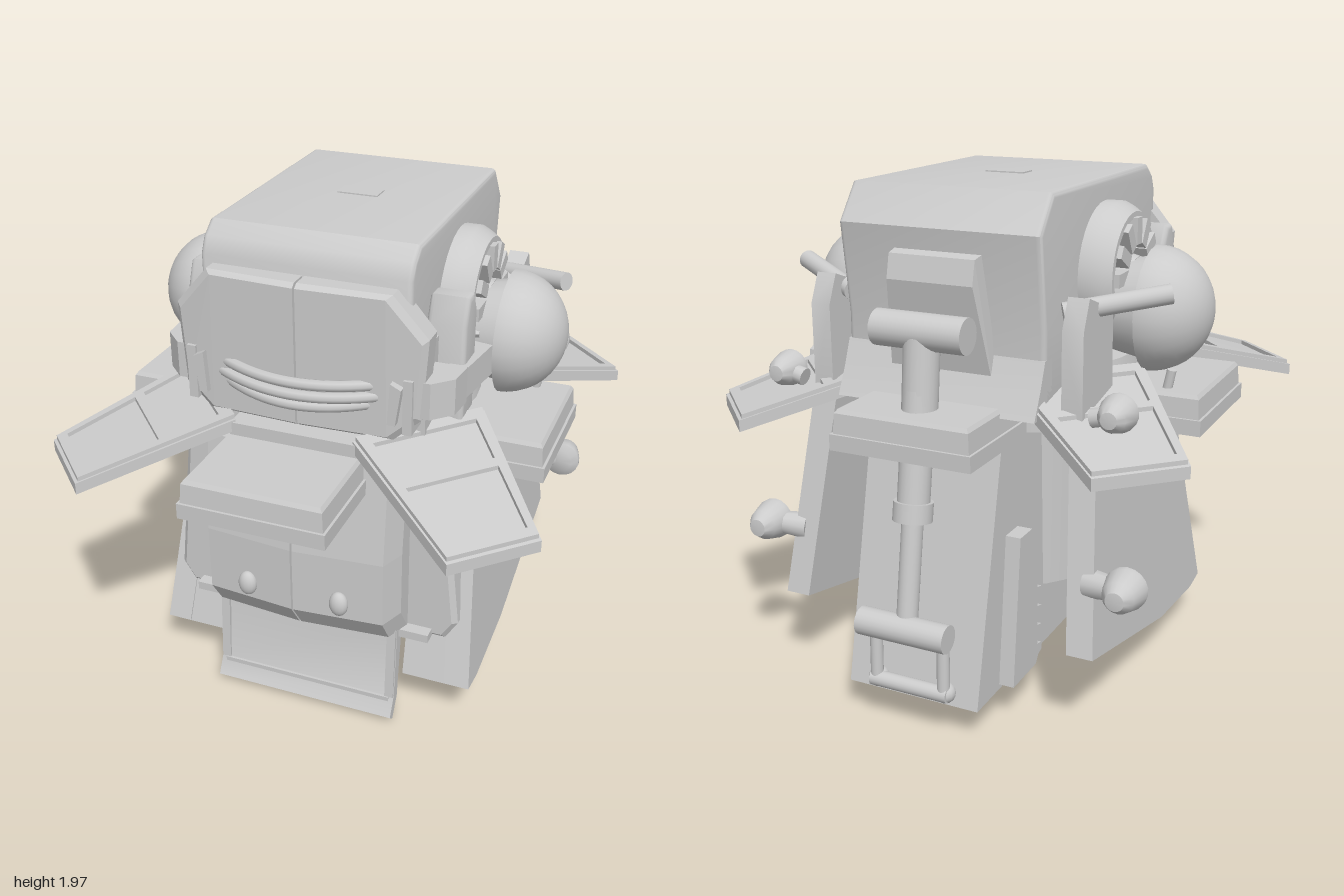
import * as THREE from 'three';
import { ConvexGeometry } from 'three/addons/geometries/ConvexGeometry.js';
import { toCreasedNormals } from 'three/addons/utils/BufferGeometryUtils.js';

const grey = new THREE.MeshStandardMaterial({ color: 0xcccccc, side: THREE.DoubleSide });
const V = (x, y, z) => new THREE.Vector3(x, y, z);

function add(parent, name, geo, x = 0, y = 0, z = 0) {
  const mesh = new THREE.Mesh(geo, grey);
  mesh.name = name;
  mesh.position.set(x, y, z);
  parent.add(mesh);
  return mesh;
}
const hull = (pts) => new ConvexGeometry(pts.map((p) => V(...p)));

// Box given by its limits
function block(parent, name, x0, x1, y0, y1, z0, z1) {
  return add(parent, name, new THREE.BoxGeometry(x1 - x0, y1 - y0, z1 - z0), (x0 + x1) / 2, (y0 + y1) / 2, (z0 + z1) / 2);
}
// Side profile of [z, y] points, extruded from x0 to x1
function sideProfile(profile, x0, x1, bevel = 0) {
  const shape = new THREE.Shape(profile.map(([z, y]) => new THREE.Vector2(z, y)));
  const geo = new THREE.ExtrudeGeometry(shape, {
    depth: x1 - x0 - 2 * bevel, bevelEnabled: bevel > 0, bevelSize: bevel, bevelThickness: bevel, bevelOffset: -bevel, bevelSegments: 4,
  });
  return toCreasedNormals(geo.rotateY(-Math.PI / 2).translate(x1 - bevel, 0, 0), 0.6);
}
// Front outline of [x, y] points, extruded from z0 to z1
function frontProfile(profile, z0, z1, bevel) {
  const shape = new THREE.Shape(profile.map(([x, y]) => new THREE.Vector2(x, y)));
  return new THREE.ExtrudeGeometry(shape, {
    depth: z1 - z0 - 2 * bevel, bevelEnabled: true, bevelSize: bevel, bevelThickness: bevel, bevelOffset: -bevel, bevelSegments: 1,
  }).translate(0, 0, z0 + bevel);
}
// Cylinder between two points
function rod(parent, name, a, b, r0, r1 = r0, sides = 20) {
  const p = V(...a), q = V(...b), d = q.clone().sub(p);
  const mesh = add(parent, name, new THREE.CylinderGeometry(r1, r0, d.length(), sides), ...p.clone().add(q).multiplyScalar(0.5).toArray());
  mesh.quaternion.setFromUnitVectors(V(0, 1, 0), d.normalize());
  return mesh;
}
// Stepped shoulder box: flange below, tapered top above
function shoulderBox(parent, name, x0, x1, z0, z1) {
  block(parent, name + 'Flange', x0, x1, 1.08, 1.14, z0, z1);
  const ring = (y, i) => [[x0 + i, y, z0 + i], [x1 - i, y, z0 + i], [x1 - i, y, z1 - i], [x0 + i, y, z1 - i]];
  add(parent, name + 'Top', hull([...ring(1.14, 0.01), ...ring(1.215, 0.015), ...ring(1.23, 0.025)]));
}
// Sloping corner fin with raised frame; zMap places it at front or rear
function fin(parent, name, zMap) {
  const g = new THREE.Group();
  g.name = name;
  parent.add(g);
  const [i1, i2, o1, o2] = [V(0.23, 1.285, 0.61), V(0.6, 1.285, 0.21), V(0.7, 1.115, 0.98), V(0.955, 1.115, 0.73)];
  const at = (u, v, h) => {
    const p = i1.clone().lerp(i2, u).lerp(o1.clone().lerp(o2, u), v);
    return [p.x, p.y + h, zMap(p.z)];
  };
  const patch = (label, u0, u1, v0, v1, h0, h1) => {
    const pts = [];
    for (const u of [u0, u1]) for (const v of [v0, v1]) for (const h of [h0, h1]) pts.push(at(u, v, h));
    add(g, label, hull(pts));
  };
  patch('finPlate', 0, 1, 0, 1, -0.04, 0.005);
  for (const [u0, u1, v0, v1] of [[0.02, 0.1, 0, 0.98], [0.9, 0.98, 0, 0.98], [0.1, 0.9, 0.92, 0.98], [0.1, 0.9, 0.4, 0.46], [0.1, 0.9, 0, 0.08]])
    patch('finFrame', u0, u1, v0, v1, 0.005, 0.022);
}
// Bell-shaped lamp opening forward, tapering to the rear
function lamp(parent, name, x, y, z, size) {
  const pts = [[0, -0.1], [0.035, -0.095], [0.06, -0.06], [0.08, 0.01], [0.08, 0.03], [0.05, 0.045], [0, 0.05]].map(([r, h]) => new THREE.Vector2(r * size, h * size));
  add(parent, name, toCreasedNormals(new THREE.LatheGeometry(pts, 18).rotateX(Math.PI / 2), 0.7), x, y, z);
}

function buildHead(body) {
  add(body, 'head', sideProfile([[0.49, 1.22], [0.49, 1.87], [0.46, 1.93], [0.4, 1.975], [-0.55, 1.975], [-0.655, 1.84], [-0.61, 1.5], [-0.61, 1.22]], -0.4, 0.4, 0.02));
  block(body, 'crownTab', -0.08, 0.08, 1.96, 1.98, -0.11, -0.03);
  // Face plate in two halves, with a seam between them
  for (const s of [-1, 1]) {
    const half = [];
    for (const [x, y] of [[0.004, 1.84], [0.35, 1.84], [0.48, 1.69], [0.46, 1.38], [0.36, 1.29], [0.004, 1.29]]) {
      const z = 0.58 - 0.12 * x * x;
      half.push([s * x, y, 0.45], [s * x, y, z - 0.02], [s * (x > 0.1 ? x - 0.02 : x), y + (y > 1.5 ? -0.015 : 0.015), z]);
    }
    add(body, s > 0 ? 'leftFacePlate' : 'rightFacePlate', hull(half));
    add(body, 'mouthClasp', hull([[0.36, 1.53], [0.4, 1.51], [0.38, 1.37], [0.35, 1.37]].flatMap(([x, y]) => [[s * x, y, 0.5], [s * x, y, 0.59]])));
  }
  // Curved bars across the lower face
  for (const [w, y, dip] of [[0.28, 1.495, 0.005], [0.3, 1.455, 0.012], [0.27, 1.42, 0.015]]) {
    const curve = new THREE.QuadraticBezierCurve3(V(-w, y, 0.55), V(0, y - dip * 2, 0.7), V(w, y, 0.55));
    add(body, 'mouthBar', new THREE.TubeGeometry(curve, 16, 0.021, 8));
  }
  // Rear wedge and flared lower rim at the back of the head
  add(body, 'rearWedge', hull([-1, 1].flatMap((s) => [[s * 0.21, 1.25, -0.55], [s * 0.21, 1.25, -0.62], [s * 0.17, 1.66, -0.71], [s * 0.17, 1.75, -0.69], [s * 0.18, 1.78, -0.55]])));
  add(body, 'rearRim', sideProfile([[-0.55, 1.2], [-0.55, 1.4], [-0.61, 1.4], [-0.65, 1.3], [-0.7, 1.2]], -0.4, 0.4));
}

function buildChest(body) {
  for (const s of [-1, 1]) {
    const pts = [];
    for (const [y, z] of [[1.2, 0.62], [0.8, 0.665], [0.53, 0.665], [0.42, 0.59]])
      pts.push([s * 0.004, y, z], [s * 0.36, y, z - 0.03], [s * 0.4, y, z - 0.13], [s * 0.4, y, 0.3], [s * 0.004, y, 0.3]);
    add(body, 'chestPlate', hull(pts));
    add(body, 'chestStud', new THREE.SphereGeometry(1, 16, 12).scale(0.038, 0.052, 0.03), s * 0.19, 0.6, 0.655);
  }
  // Hanging front flap with a raised border and a kicked-out foot
  add(body, 'frontFlap', sideProfile([[0.515, 0.43], [0.46, 0.43], [0.505, 0.09], [0.556, 0.008], [0.586, 0.035], [0.542, 0.115]], -0.38, 0.38));
  for (const s of [-1, 1])
    add(body, 'flapBorder', sideProfile([[0.53, 0.43], [0.5, 0.43], [0.53, 0.11], [0.55, 0.11]], s * 0.36 - 0.018, s * 0.36 + 0.018));
  block(body, 'flapRib', -0.36, 0.36, 0.09, 0.11, 0.52, 0.555);
  // Neck, shoulder plate, inner core and the floor behind the chest
  add(body, 'neck', new THREE.CylinderGeometry(0.5, 0.52, 0.12, 32), 0, 1.24, 0);
  add(body, 'shoulderPlate', new THREE.CylinderGeometry(0.58, 0.58, 0.1, 32), 0, 1.14, 0);
  add(body, 'core', new THREE.CylinderGeometry(0.42, 0.4, 0.7, 32), 0, 0.75, -0.03);
  block(body, 'torsoFloor', -0.5, 0.5, 0.385, 0.42, 0.12, 0.5);
}

function buildBack(body) {
  // Back box with leaning rear wall and a shallow recess below
  const outline = [[0.035, 0.14], [0.035, 1.1], [-0.69, 1.1], [-0.9, 0.14]];
  for (const x of [-0.27, 0.22]) add(body, 'backBoxSide', sideProfile(outline, x, x + 0.05));
  add(body, 'backBoxRear', sideProfile([[-0.69, 1.1], [-0.6, 1.1], [-0.81, 0.14], [-0.9, 0.14]], -0.22, 0.22));
  block(body, 'backBoxFront', -0.22, 0.22, 0.14, 1.1, -0.02, 0.035);
  block(body, 'backBoxFloor', -0.22, 0.22, 0.17, 0.2, -0.84, 0);
  // Piston with cross joints and lower link frame
  rod(body, 'upperJoint', [-0.18, 1.5, -0.765], [0.18, 1.5, -0.765], 0.066);
  rod(body, 'pistonNeck', [0, 1.48, -0.765], [0, 1.2, -0.795], 0.066);
  rod(body, 'pistonBarrel', [0, 1.43, -0.77], [0, 0.85, -0.86], 0.06);
  rod(body, 'pistonCollar', [0, 0.9, -0.852], [0, 0.83, -0.864], 0.073);
  rod(body, 'pistonRod', [0, 0.85, -0.86], [0, 0.44, -0.925], 0.04);
  rod(body, 'lowerJoint', [-0.18, 0.435, -0.945], [0.18, 0.435, -0.945], 0.053);
  rod(body, 'lowerBar', [-0.16, 0.19, -0.915], [0.16, 0.19, -0.915], 0.03);
  for (const x of [-0.14, 0.14]) {
    rod(body, 'lowerLink', [x, 0.43, -0.91], [x, 0.19, -0.915], 0.024);
    add(body, 'linkFoot', new THREE.SphereGeometry(0.04, 14, 10), x, 0.19, -0.9);
  }
}

// Everything on one flank, for x > 0
function buildSide() {
  const g = new THREE.Group();
  // Ear ring with radial blades
  const ring = [[0.2, 0.36], [0.26, 0.36], [0.26, 0.46], [0.245, 0.49], [0.225, 0.52], [0.2, 0.52], [0.2, 0.36]].map(([r, x]) => new THREE.Vector2(r, x));
  add(g, 'earRing', toCreasedNormals(new THREE.LatheGeometry(ring, 36).rotateZ(-Math.PI / 2), 0.5), 0, 1.63, -0.07);
  rod(g, 'earDisc', [0.36, 1.63, -0.07], [0.43, 1.63, -0.07], 0.21, 0.21, 32);
  rod(g, 'earHub', [0.4, 1.6, -0.07], [0.52, 1.58, -0.07], 0.12, 0.11);
  for (let i = 0; i < 12; i++) {
    const blade = add(g, 'earBlade', new THREE.BoxGeometry(0.12, 0.1, 0.05).translate(0, 0.155, 0), 0.48, 1.63, -0.07);
    blade.rotation.x = (i / 12) * Math.PI * 2;
  }
  // Domed pod
  rod(g, 'podMount', [0.45, 1.5, -0.07], [0.61, 1.5, -0.07], 0.17, 0.2);
  add(g, 'podDome', new THREE.SphereGeometry(0.237, 24, 10, 0, Math.PI * 2, 0, Math.PI / 2).rotateZ(-Math.PI / 2).scale(0.96, 1, 1), 0.605, 1.5, -0.07);
  add(g, 'podBack', new THREE.CircleGeometry(0.237, 24).rotateY(-Math.PI / 2), 0.605, 1.5, -0.07);
  // Cheek plate, and arm joining the face to the pod
  add(g, 'cheekPlate', sideProfile([[0.33, 1.29], [0.33, 1.66], [0.29, 1.76], [0.23, 1.76], [0.19, 1.69], [0.19, 1.29]], 0.4, 0.55, 0.02));
  block(g, 'cheekFill', 0.36, 0.45, 1.28, 1.62, 0.3, 0.46);
  add(g, 'armClamp', hull([1.39, 1.53].flatMap((y) => [[0.42, y, 0.54], [0.49, y, 0.54], [0.56, y, 0.47], [0.57, y, 0.36], [0.42, y, 0.36]])));
  block(g, 'armClaspPlate', 0.4, 0.435, 1.33, 1.54, 0.42, 0.57);
  for (const y of [1.42, 1.46, 1.5])
    add(g, 'armBar', hull([y - 0.022, y + 0.018].flatMap((h) => [[0.49, h, 0.38], [0.56, h, 0.38], [0.52, h, 0.05], [0.605, h, 0.05]])));
  // Rear upright and slanting rod
  add(g, 'rearUpright', sideProfile([[-0.63, 1.2], [-0.63, 1.52], [-0.58, 1.63], [-0.36, 1.55], [-0.34, 1.2]], 0.47, 0.55));
  rod(g, 'rearRod', [0.43, 1.56, -0.53], [0.76, 1.62, -0.34], 0.036);
  // Flank panel beside the chest
  add(g, 'flankPanel', frontProfile([[0.37, 1.2], [0.52, 1.2], [0.6, 0.46], [0.55, 0.38], [0.37, 0.38]], 0.28, 0.45, 0.02));
  // Side skirt, splayed outward towards the bottom
  const skirt = sideProfile([[0.2, 1.15], [0.235, 1.08], [0.475, 0.185], [0.36, 0.17], [-0.02, 0.2], [-0.75, 0.365], [-0.59, 1.15]], 0.49, 0.592);
  const p = skirt.attributes.position;
  for (let i = 0; i < p.count; i++) p.setX(i, p.getX(i) + (1.1 - p.getY(i)) * 0.083);
  skirt.computeVertexNormals();
  add(g, 'sideSkirt', skirt);
  add(g, 'skirtFront', hull([[0.375, 0.39], [0.585, 0.66]].flatMap(([top, low]) => [[top, 1.1, 0.23], [top, 1.1, 0.15], [low, 0.18, 0.47], [low, 0.18, 0.38]])));
  // Jagged rack on the side of the back box
  const rack = [[-0.5, 0.62], [-0.56, 0.74], [-0.66, 0.74], [-0.72, 0.16], [-0.52, 0.16]];
  for (let i = 0; i < 4; i++) rack.push([-0.5, 0.19 + i * 0.08], [-0.47, 0.2 + i * 0.08], [-0.47, 0.23 + i * 0.08], [-0.51, 0.24 + i * 0.08]);
  add(g, 'jaggedRack', sideProfile(rack, 0.27, 0.33));
  // Lamps on the skirt and on the rear fin
  lamp(g, 'skirtLamp', 0.745, 0.635, -0.7, 1);
  rod(g, 'skirtLampStalk', [0.6, 0.62, -0.66], [0.74, 0.635, -0.7], 0.055, 0.04, 12);
  lamp(g, 'finLamp', 0.675, 1.25, -0.625, 0.88);
  rod(g, 'finLampStalk', [0.59, 1.23, -0.64], [0.67, 1.25, -0.64], 0.035, 0.035, 12);
  // Shoulder pieces
  shoulderBox(g, 'sideShoulder', 0.42, 0.86, -0.255, 0.3);
  rod(g, 'shoulderPin', [0.7, 1.2, -0.18], [0.72, 1.3, -0.18], 0.018, 0.018, 10);
  fin(g, 'frontFin', (z) => z);
  fin(g, 'rearFin', (z) => 0.065 - z);
  return g;
}

export function createModel() {
  const model = new THREE.Group();
  const body = new THREE.Group();
  body.name = 'body';
  body.position.x = -0.012;
  model.add(body);
  buildHead(body);
  buildChest(body);
  buildBack(body);
  shoulderBox(body, 'frontShoulder', -0.28, 0.28, 0.4, 0.995);
  block(body, 'frontShoulderStep', -0.25, 0.25, 1.2, 1.28, 0.4, 0.62);
  shoulderBox(body, 'rearShoulder', -0.28, 0.28, -0.95, -0.4);
  const left = buildSide();
  left.name = 'leftSide';
  const right = left.clone();
  right.name = 'rightSide';
  right.scale.x = -1;
  body.add(left, right);
  return model;
}
